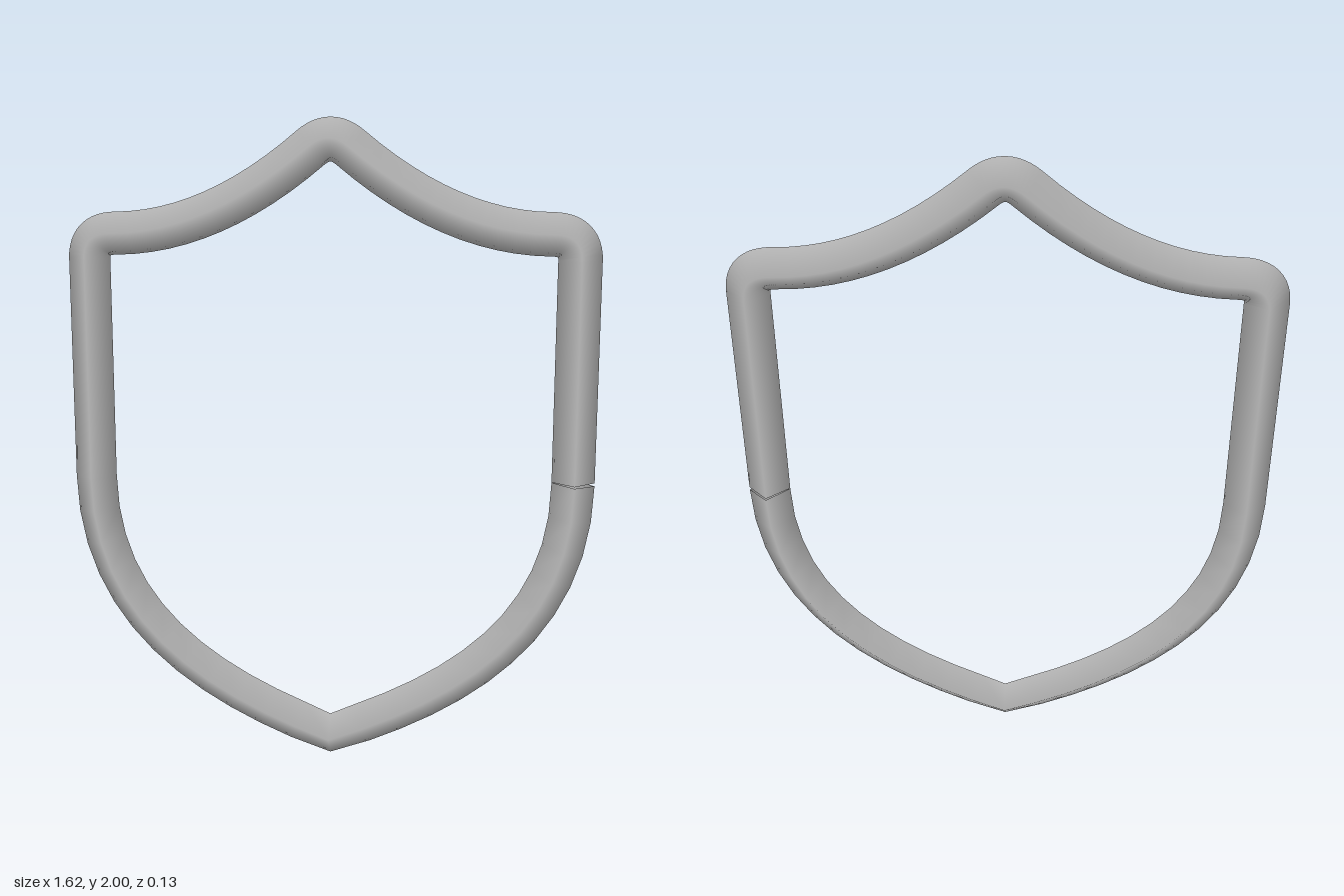
import * as THREE from 'three';

const RADIUS = 0.065;
const SIDES = 4; // diamond cross-section, smooth shaded

// Centreline of the shield outline, from the left side over the peak and back
function outline() {
  const path = new THREE.Path();
  path.moveTo(0.745, 0.908);
  path.lineTo(0.745, 1.58);
  path.quadraticCurveTo(0.745, 1.657, 0.66, 1.657);   // left shoulder
  path.quadraticCurveTo(0.36, 1.66, 0.06, 1.91);      // left sweep
  path.quadraticCurveTo(0, 1.96, -0.06, 1.91);        // peak
  path.quadraticCurveTo(-0.36, 1.66, -0.66, 1.657);   // right sweep
  path.quadraticCurveTo(-0.745, 1.657, -0.745, 1.58); // right shoulder
  path.lineTo(-0.745, 0.9);
  path.bezierCurveTo(-0.745, 0.45, -0.42, 0.22, 0, 0.068); // lower right
  path.bezierCurveTo(0.42, 0.22, 0.745, 0.45, 0.745, 0.903); // lower left
  return path.getPoints(12);
}

// Sweeps the cross-section along a planar path, with radial normals
function sweep(points) {
  const positions = [], normals = [], indices = [];
  const last = points.length - 1;
  points.forEach((p, i) => {
    const before = i > 0 ? p.clone().sub(points[i - 1]).normalize() : new THREE.Vector2();
    const after = i < last ? points[i + 1].clone().sub(p).normalize() : new THREE.Vector2();
    const t = before.add(after).normalize();
    for (let j = 0; j <= SIDES; j++) {
      const a = (j / SIDES) * Math.PI * 2;
      const n = [t.y * Math.cos(a), -t.x * Math.cos(a), Math.sin(a)];
      normals.push(...n);
      positions.push(p.x + n[0] * RADIUS, p.y + n[1] * RADIUS, n[2] * RADIUS);
      if (i < last && j < SIDES) {
        const k = i * (SIDES + 1) + j, m = k + SIDES + 1;
        indices.push(k, m, k + 1, m, m + 1, k + 1);
      }
    }
  });
  const geometry = new THREE.BufferGeometry();
  geometry.setAttribute('position', new THREE.Float32BufferAttribute(positions, 3));
  geometry.setAttribute('normal', new THREE.Float32BufferAttribute(normals, 3));
  geometry.setIndex(indices);
  return geometry;
}

export function createModel() {
  const group = new THREE.Group();
  group.name = 'shieldFrame';
  const grey = new THREE.MeshStandardMaterial({ color: 0xb8b8b8, side: THREE.DoubleSide });
  grey.name = 'light grey';

  // Rim, open by a hairline seam on the left side
  const rim = new THREE.Mesh(sweep(outline()), grey);
  rim.name = 'rim';
  group.add(rim);
  return group;
}
